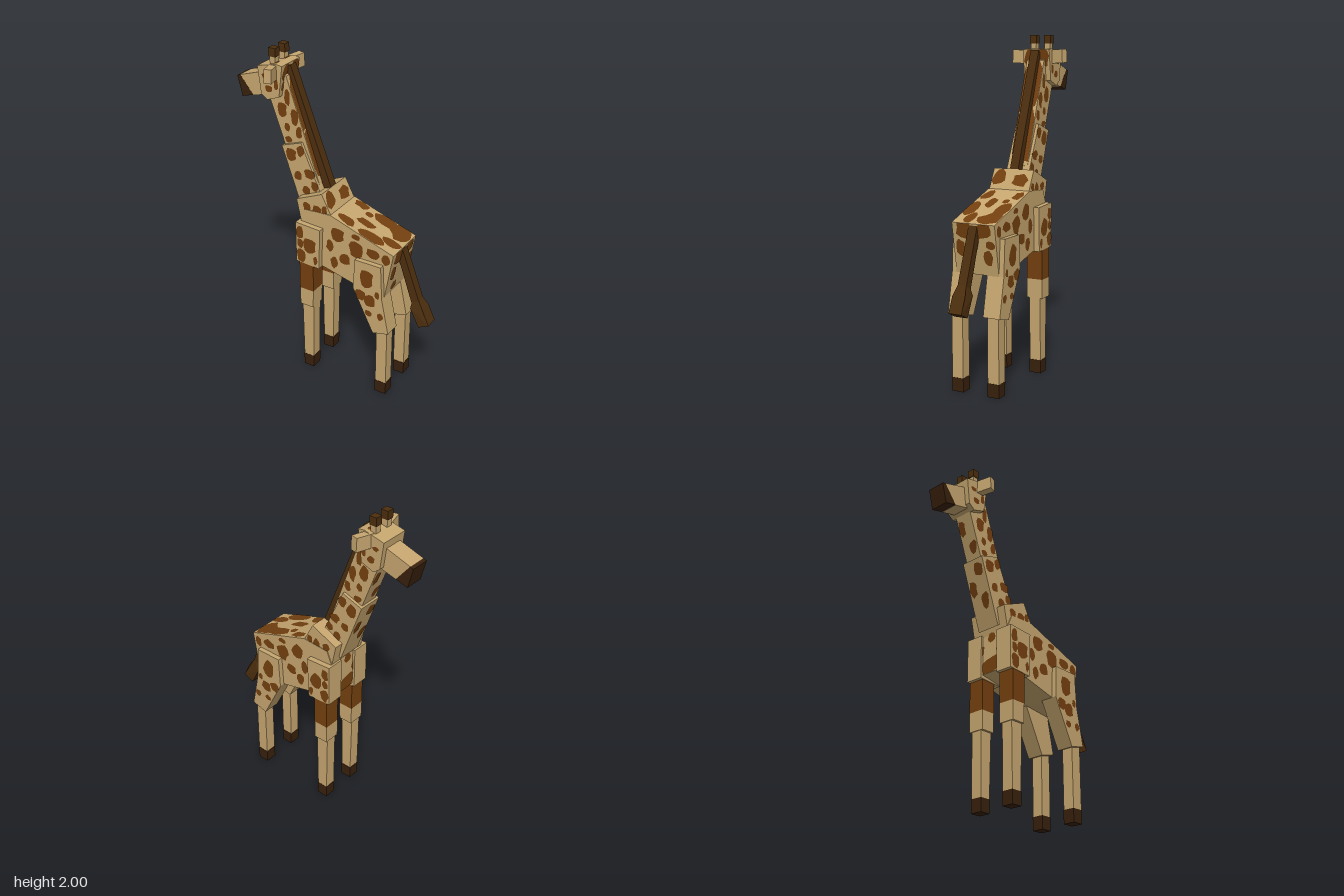
import * as THREE from 'three';

const paint = (name, color) => {
  const m = new THREE.MeshStandardMaterial({ color });
  m.name = name;
  return m;
};

// Solid from a side outline of [x, y] points, spanning z0..z1; corners may override with [x, y, z0, z1]
function prism(points, z0, z1) {
  let pts = points.map(([x, y, a = z0, b = z1]) => ({ x, y, a, b }));
  if (THREE.ShapeUtils.isClockWise(pts)) pts.reverse();
  const pos = [];
  const back = (p) => [p.x, p.y, p.a], front = (p) => [p.x, p.y, p.b];
  const tri = (...vs) => vs.forEach((v) => pos.push(...v));
  const flat = pts.map((p) => new THREE.Vector2(p.x, p.y));
  for (const [i, j, k] of THREE.ShapeUtils.triangulateShape(flat, [])) {
    tri(front(pts[i]), front(pts[j]), front(pts[k]));
    tri(back(pts[k]), back(pts[j]), back(pts[i]));
  }
  pts.forEach((p, i) => {
    const q = pts[(i + 1) % pts.length];
    tri(back(p), back(q), front(q));
    tri(back(p), front(q), front(p));
  });
  const g = new THREE.BufferGeometry();
  g.setAttribute('position', new THREE.Float32BufferAttribute(pos, 3));
  g.computeVertexNormals();
  return g;
}

// Irregular blotches from [u, v, ru, rv], optionally clipped to a rectangle
function blotches(list, seed, clip) {
  let s = seed;
  const rnd = () => (s = (s * 16807) % 2147483647) / 2147483647;
  return new THREE.ShapeGeometry(list.map(([u, v, ru, rv = ru]) => {
    const pts = [];
    for (let i = 0; i < 11; i++) {
      const a = (i / 11) * Math.PI * 2, k = 0.82 + 0.36 * rnd();
      const p = new THREE.Vector2(u + Math.cos(a) * ru * k, v + Math.sin(a) * rv * k);
      if (clip) p.clamp(clip.min, clip.max);
      pts.push(p);
    }
    return new THREE.Shape(pts);
  }));
}

export function createModel() {
  const model = new THREE.Group();
  model.name = 'giraffe';
  const tan = paint('tan coat', 0xc6a66f);
  const brown = paint('brown patches', 0x74400f);
  const mane = paint('dark mane', 0x4c2e0e);
  const hoof = paint('hoof', 0x38200c);

  const add = (name, geo, mat) => {
    const m = new THREE.Mesh(geo, mat);
    m.name = name;
    model.add(m);
    return m;
  };
  const block = (name, mat, pts, hz) => add(name, prism(pts, -hz, hz), mat);
  const pair = (name, mat, pts, zIn, zOut) => {
    add('left' + name, prism(pts, zIn, zOut), mat);
    add('right' + name, prism(pts.map(([x, y, a = zIn, b = zOut]) => [x, y, -b, -a]), -zOut, -zIn), mat);
  };
  // Blotches on both flanks at distance z from the middle
  const sideSpots = (name, z, list) => {
    add('left' + name, blotches(list, 7), brown).position.z = z + 0.003;
    const r = add('right' + name, blotches(list.map(([x, ...rest]) => [-x, ...rest]), 19), brown);
    r.position.z = -z - 0.003;
    r.rotation.y = Math.PI;
  };
  // Blotches on the face above edge a-b (outside is to the left of a-b), [fraction along, z, size, size]
  const edgeSpots = (name, a, b, hz, list) => {
    const u = new THREE.Vector3(b[0] - a[0], b[1] - a[1], 0), len = u.length();
    u.normalize();
    const v = new THREE.Vector3(0, 0, -1), n = new THREE.Vector3().crossVectors(u, v);
    const clip = { min: new THREE.Vector2(0, -hz), max: new THREE.Vector2(len, hz) };
    const m = add(name, blotches(list.map(([t, z, ...r]) => [t * len, -z, ...r]), 31, clip), brown);
    m.quaternion.setFromRotationMatrix(new THREE.Matrix4().makeBasis(u, v, n));
    m.position.set(a[0], a[1], 0).addScaledVector(n, 0.003);
  };

  // Torso
  block('torso', tan, [[-0.17, 1.03], [-0.17, 0.78], [0, 0.75], [0.2, 0.7], [0.39, 0.68],
    [0.44, 0.97], [0.03, 1.11], [-0.14, 1.1]], 0.135);
  sideSpots('FlankSpots', 0.135, [[0.08, 1.0, 0.045], [0.2, 0.94, 0.045, 0.055], [0.13, 0.85, 0.035],
    [0.06, 0.81, 0.025, 0.04], [0.31, 0.945, 0.045, 0.03], [0.2, 1.02, 0.03, 0.018], [0.395, 0.93, 0.025, 0.035],
    [0.03, 0.91, 0.025, 0.04]]);
  edgeSpots('backSpots', [0.03, 1.11], [0.44, 0.97], 0.134, [[0.2, 0.09, 0.06, 0.035], [0.18, -0.1, 0.05, 0.03],
    [0.42, 0.02, 0.06, 0.03], [0.6, -0.09, 0.09, 0.045], [0.62, 0.1, 0.09, 0.04], [0.85, -0.07, 0.07, 0.07],
    [0.86, 0.05, 0.06, 0.035], [0.35, -0.06, 0.025, 0.02]]);
  edgeSpots('rumpSpots', [0.44, 0.97], [0.39, 0.68], 0.134, [[0.12, -0.06, 0.05, 0.055], [0.12, 0.06, 0.06, 0.05],
    [0.5, 0.09, 0.05, 0.03], [0.65, -0.08, 0.045, 0.03], [0.4, -0.1, 0.025, 0.03], [0.85, 0.05, 0.03, 0.03]]);
  edgeSpots('chestSpots', [-0.17, 0.78], [-0.17, 1.03], 0.134, [[0.15, 0, 0.06, 0.07], [0.55, 0.08, 0.05, 0.035],
    [0.6, -0.08, 0.04, 0.035], [0.85, 0.01, 0.03, 0.03]]);

  // Shoulders
  pair('Shoulder', tan, [[-0.185, 1.02], [-0.185, 0.76], [-0.03, 0.75], [-0.02, 1.01]], 0.06, 0.168);
  sideSpots('ShoulderSpots', 0.168, [[-0.09, 0.89, 0.045, 0.05], [-0.15, 0.81, 0.03, 0.045],
    [-0.155, 0.96, 0.024, 0.04], [-0.05, 0.8, 0.014, 0.03], [-0.155, 0.89, 0.022, 0.03]]);

  // Neck base and two tapering neck blocks
  block('neckBase', tan, [[-0.2, 1.15], [-0.03, 1.225], [0.035, 1.1], [-0.17, 1.01]], 0.13);
  sideSpots('NeckBaseSpots', 0.13, [[-0.06, 1.1, 0.03, 0.05], [-0.13, 1.12, 0.025, 0.03], [-0.01, 1.13, 0.018, 0.025]]);
  edgeSpots('witherSpots', [-0.03, 1.225], [0.035, 1.1], 0.129, [[0.4, 0.08, 0.05, 0.045], [0.5, -0.06, 0.04, 0.05]]);
  block('lowerNeck', tan, [[-0.33, 1.435], [-0.2, 1.48], [-0.06, 1.17], [-0.19, 1.04]], 0.075);
  sideSpots('LowerNeckSpots', 0.075, [[-0.265, 1.395, 0.036, 0.04], [-0.145, 1.3, 0.035, 0.03], [-0.22, 1.27, 0.025, 0.028],
    [-0.2, 1.43, 0.025, 0.035], [-0.11, 1.23, 0.025, 0.03], [-0.165, 1.19, 0.028, 0.03]]);
  edgeSpots('throatSpots', [-0.19, 1.04], [-0.33, 1.435], 0.074, [[0.4, 0.03, 0.05, 0.03], [0.6, -0.04, 0.05, 0.028],
    [0.85, 0.03, 0.04, 0.035]]);
  block('upperNeck', tan, [[-0.42, 1.72], [-0.34, 1.87], [-0.3, 1.85], [-0.09, 1.24], [-0.24, 1.22]], 0.057);
  sideSpots('UpperNeckSpots', 0.057, [[-0.33, 1.65, 0.032, 0.045], [-0.25, 1.62, 0.024, 0.05], [-0.22, 1.53, 0.02, 0.035],
    [-0.29, 1.475, 0.024, 0.02], [-0.3, 1.55, 0.02, 0.025], [-0.295, 1.73, 0.02, 0.05]]);
  edgeSpots('upperThroatSpots', [-0.31, 1.42], [-0.42, 1.72], 0.056, [[0.3, 0.02, 0.04, 0.03], [0.7, -0.03, 0.05, 0.025]]);
  edgeSpots('napePatch', [-0.3, 1.85], [-0.09, 1.24], 0.056, [[0.25, 0, 0.17, 0.1], [0.72, 0, 0.17, 0.1]]);

  // Mane
  block('mane', mane, [[-0.33, 1.88], [-0.29, 1.91], [-0.03, 1.22], [-0.1, 1.2]], 0.027);

  // Head and muzzle
  block('head', tan, [[-0.47, 1.89], [-0.345, 1.92], [-0.305, 1.915], [-0.33, 1.73], [-0.41, 1.7], [-0.45, 1.73]], 0.088);
  sideSpots('CheekSpots', 0.088, [[-0.395, 1.77, 0.025, 0.02], [-0.42, 1.84, 0.02, 0.014], [-0.345, 1.8, 0.014, 0.03]]);
  edgeSpots('headBackSpots', [-0.305, 1.915], [-0.33, 1.73], 0.087, [[0.25, 0.04, 0.05, 0.04], [0.25, -0.05, 0.06, 0.035],
    [0.7, 0.05, 0.03, 0.03]]);
  edgeSpots('crownSpots', [-0.47, 1.89], [-0.345, 1.92], 0.087, [[0.9, 0.06, 0.02, 0.02], [0.95, -0.04, 0.02, 0.03]]);
  block('muzzle', tan, [[-0.615, 1.797], [-0.45, 1.85], [-0.42, 1.72], [-0.53, 1.69]], 0.056);
  block('nose', hoof, [[-0.635, 1.79], [-0.614, 1.797], [-0.53, 1.692], [-0.605, 1.67]], 0.0565);

  // Horns and ears, mirrored
  pair('Horn', tan, [[-0.4, 1.88], [-0.365, 1.88], [-0.365, 1.96], [-0.4, 1.96]], 0.028, 0.065);
  pair('HornTip', mane, [[-0.405, 1.95], [-0.36, 1.95], [-0.36, 2], [-0.405, 2]], 0.025, 0.069);
  for (const s of [1, -1]) {
    const ear = add(s > 0 ? 'leftEar' : 'rightEar', new THREE.BoxGeometry(0.045, 0.08, 0.11), tan);
    ear.position.set(-0.358, 1.873, s * 0.117);
    ear.rotation.set(-s * 0.05, s * 0.25, 0);
  }

  // Front legs
  pair('FrontThigh', brown, [[-0.165, 0.8], [-0.165, 0.575], [-0.072, 0.575], [-0.07, 0.8]], 0.065, 0.165);
  pair('FrontKnee', tan, [[-0.165, 0.575], [-0.163, 0.46], [-0.075, 0.46], [-0.072, 0.575]], 0.065, 0.165);
  pair('FrontShin', tan, [[-0.158, 0.47], [-0.152, 0.08], [-0.085, 0.08], [-0.078, 0.47]], 0.08, 0.15);
  pair('FrontHoof', hoof, [[-0.154, 0.08], [-0.152, 0], [-0.085, 0], [-0.083, 0.08]], 0.078, 0.151);

  // Hind legs
  pair('HindThigh', tan, [[0.21, 0.89], [0.2, 0.7], [0.335, 0.43], [0.437, 0.455], [0.39, 0.68], [0.378, 0.89]], 0.06, 0.165);
  sideSpots('ThighSpots', 0.165, [[0.29, 0.79, 0.044, 0.06], [0.25, 0.67, 0.034, 0.035], [0.315, 0.645, 0.035, 0.04],
    [0.385, 0.56, 0.02, 0.025], [0.305, 0.56, 0.024, 0.02], [0.36, 0.7, 0.016, 0.025]]);
  pair('HindShin', tan, [[0.352, 0.47], [0.352, 0.08], [0.422, 0.08], [0.422, 0.47]], 0.08, 0.15);
  pair('HindHoof', hoof, [[0.35, 0.08], [0.352, 0], [0.422, 0], [0.424, 0.08]], 0.078, 0.151);

  // Tail with tuft
  block('tail', mane, [[0.405, 0.93], [0.44, 0.96], [0.56, 0.64], [0.51, 0.625]], 0.027);
  block('tailTuft', mane, [[0.515, 0.64, -0.025, 0.025], [0.555, 0.655, -0.025, 0.025], [0.59, 0.6],
    [0.632, 0.51], [0.567, 0.478], [0.51, 0.59]], 0.04);

  return model;
}
